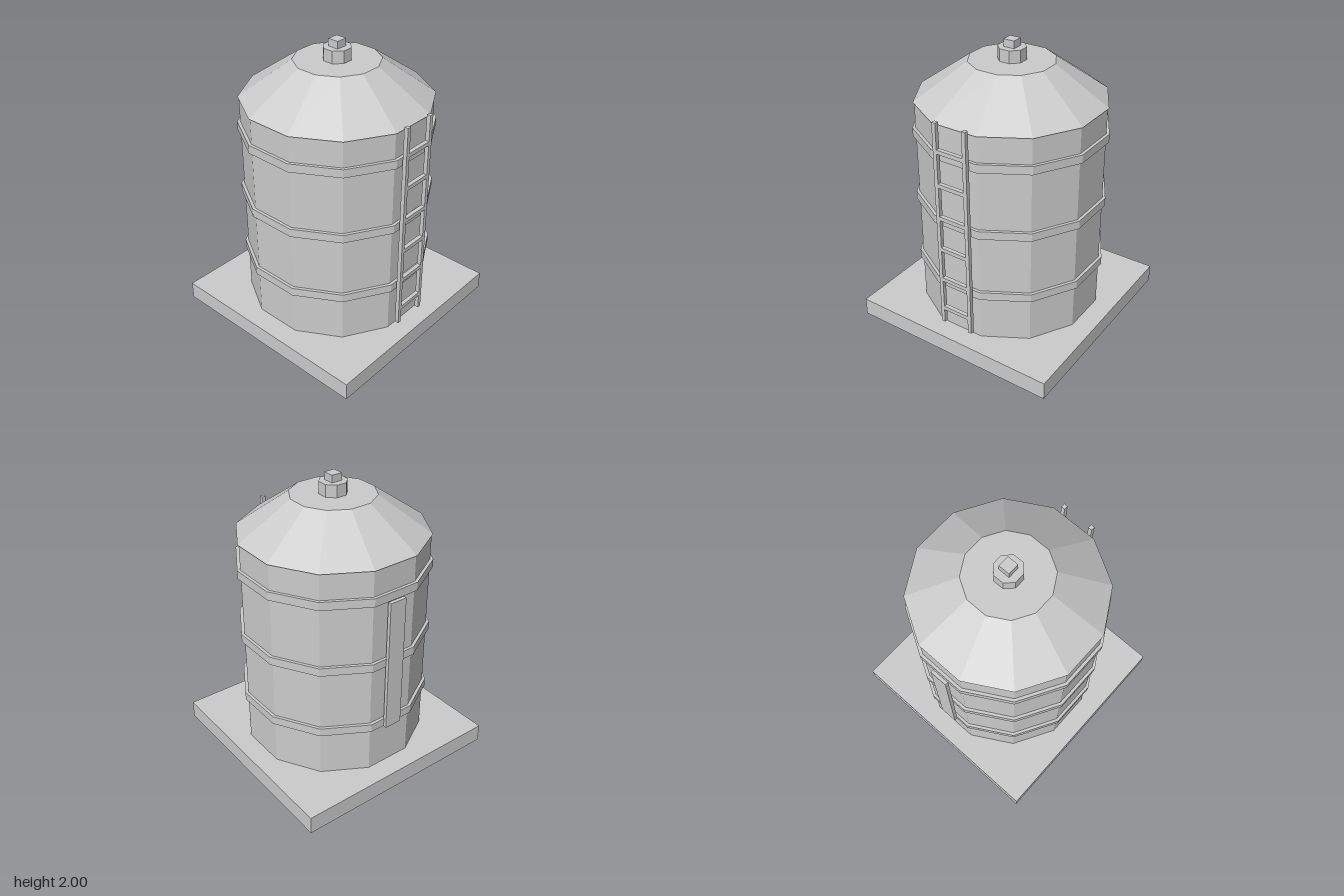
import * as THREE from 'three';

export function createModel() {
  const group = new THREE.Group();
  const material = new THREE.MeshStandardMaterial({ color: 0xcccccc, flatShading: true });

  function add(name, geometry, x, y, z, parent = group) {
    const mesh = new THREE.Mesh(geometry, material);
    mesh.name = name;
    mesh.position.set(x, y, z);
    parent.add(mesh);
    return mesh;
  }

  // Upright prism whose flat sides face the axes; sizes are centre-to-side distances
  function prism(name, sides, top, bottom, y0, y1) {
    const k = 1 / Math.cos(Math.PI / sides);
    const geometry = new THREE.CylinderGeometry(top * k, bottom * k, y1 - y0, sides);
    geometry.rotateY(Math.PI / sides);
    return add(name, geometry, 0, (y0 + y1) / 2, 0);
  }

  // Square foundation and tank
  add('base', new THREE.BoxGeometry(1.5, 0.126, 1.5), 0, 0.063, 0);
  prism('tankBody', 12, 0.607, 0.607, 0.126, 1.62);
  prism('roof', 12, 0.275, 0.615, 1.62, 1.867);

  // Hoops around the tank
  for (const y of [0.475, 0.945, 1.415]) prism('hoop', 12, 0.627, 0.627, y - 0.029, y + 0.029);

  // Roof vent
  prism('vent', 8, 0.087, 0.087, 1.867, 1.95);
  add('ventCap', new THREE.BoxGeometry(0.078, 0.05, 0.078), 0, 1.975, 0);

  // Ladder on the +x side
  const ladder = new THREE.Group();
  ladder.name = 'ladder';
  group.add(ladder);
  for (const side of [-1, 1]) {
    add('ladderRail', new THREE.BoxGeometry(0.028, 1.488, 0.027), 0.65, 0.911, side * 0.11, ladder);
  }
  for (let i = 0; i < 6; i++) {
    add('ladderRung', new THREE.BoxGeometry(0.028, 0.028, 0.194), 0.65, 0.285 + i * 0.2358, 0, ladder);
  }

  // Level gauge strip on the -x side
  add('gaugeStrip', new THREE.BoxGeometry(0.025, 0.94, 0.124), -0.6365, 0.912, 0);

  return group;
}
